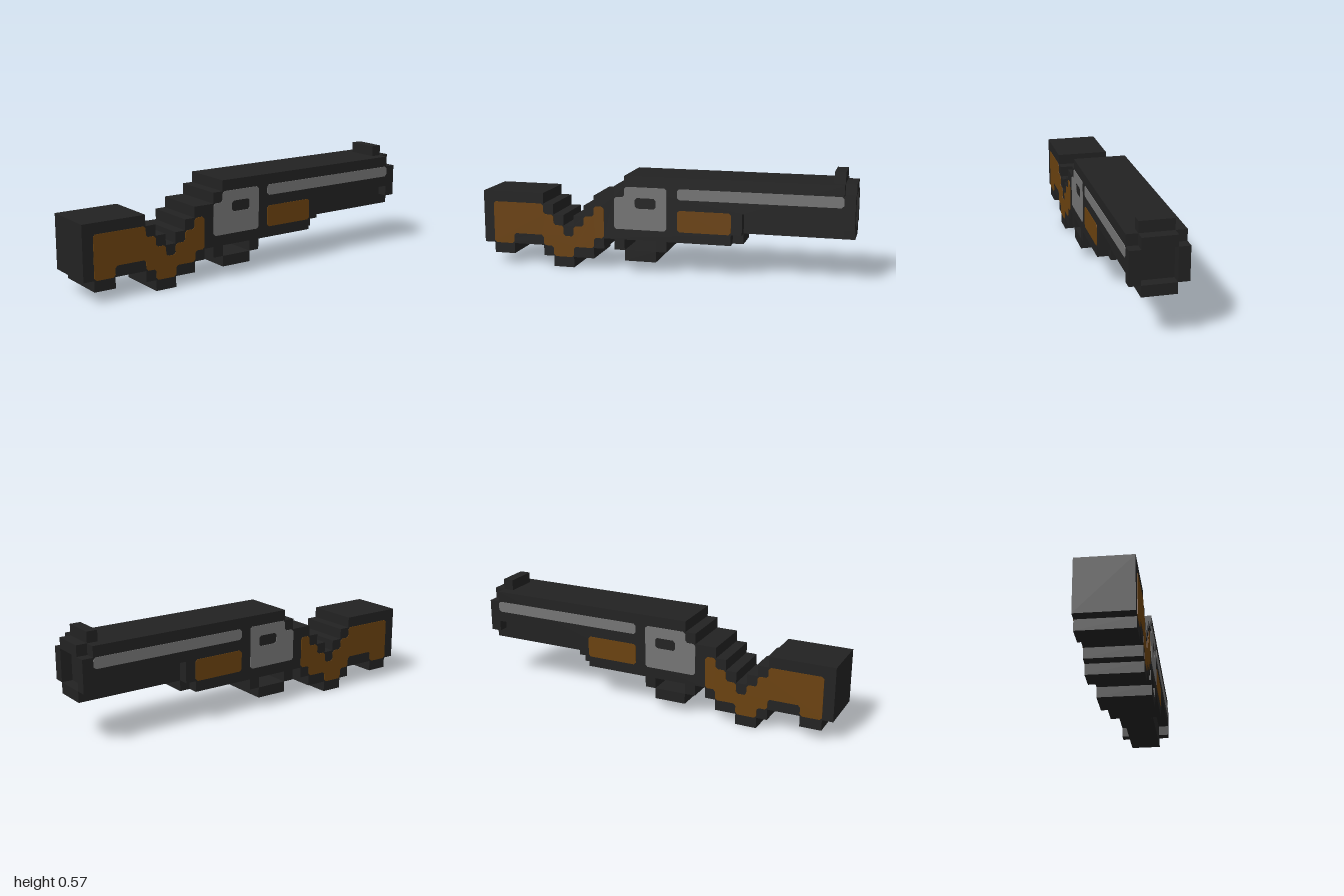
import * as THREE from 'three';

const U = 2 / 35;      // one block
const HALF = 2.5;      // half thickness in blocks

const darkMetal = new THREE.MeshStandardMaterial({ color: 0x222222 });
const greyMetal = new THREE.MeshStandardMaterial({ color: 0x757575 });
const brownWood = new THREE.MeshStandardMaterial({ color: 0x6b420f });
darkMetal.name = 'darkMetal';
greyMetal.name = 'greyMetal';
brownWood.name = 'brownWood';

// Closed outline, optionally with every corner cut by c blocks
function outline(points, c = 0, PathType = THREE.Shape) {
  const v = points.map(([x, y]) => new THREE.Vector2(x, y));
  if (!c) return new PathType(v);
  const cut = [];
  v.forEach((p, i) => {
    for (const q of [v[(i + v.length - 1) % v.length], v[(i + 1) % v.length]]) {
      cut.push(q.clone().sub(p).setLength(c).add(p));
    }
  });
  return new PathType(cut);
}

const rect = (x0, x1, y0, y1) => [[x0, y0], [x1, y0], [x1, y1], [x0, y1]];

export function createModel() {
  const model = new THREE.Group();
  model.name = 'blockShotgun';

  function add(name, geometry, material) {
    geometry.translate(-17.5, 0, 0).scale(U, U, U);
    const mesh = new THREE.Mesh(geometry, material);
    mesh.name = name;
    model.add(mesh);
  }

  // Box given by its limits in blocks
  function box(name, x0, x1, y0, y1, z0 = -HALF, z1 = HALF) {
    const g = new THREE.BoxGeometry(x1 - x0, y1 - y0, z1 - z0);
    g.translate((x0 + x1) / 2, (y0 + y1) / 2, (z0 + z1) / 2);
    add(name, g, darkMetal);
  }

  // Thin painted panel on both sides
  function panels(name, points, material, hole) {
    const shape = outline(points, 0.2);
    if (hole) shape.holes.push(outline(hole, 0.2, THREE.Path));
    for (const [side, z] of [['Front', HALF], ['Back', -HALF - 0.05]]) {
      const g = new THREE.ExtrudeGeometry(shape, { depth: 0.05, bevelEnabled: false });
      add(name + side, g.translate(0, 0, z), material);
    }
  }

  // Stock, receiver, forearm and upper barrel in one stepped silhouette
  const body = outline([
    [0, 2], [1, 2], [1, 1], [3, 1], [3, 2], [6, 2], [6, 1], [7, 1], [7, 0], [9, 0], [9, 1],
    [11, 1], [11, 2], [12, 2], [12, 3], [24, 3], [24, 4], [25, 4], [25, 6], [34, 6],
    [34, 9], [14, 9], [14, 8], [13, 8], [13, 7], [11, 7], [11, 6], [10, 6], [10, 5],
    [9, 5], [9, 4], [8, 4], [8, 5], [7, 5], [7, 6], [6, 6], [6, 7], [0, 7],
  ]);
  add('body', new THREE.ExtrudeGeometry(body, { depth: 2 * HALF, bevelEnabled: false })
    .translate(0, 0, -HALF), darkMetal);

  // Trigger guard
  box('guardRearPost', 13, 14, 2, 3);
  box('guardFrontPost', 17, 18, 2, 3);
  box('guardBottom', 14, 17, 1, 2);

  // Narrow parts: forearm tip, magazine tube and front sight
  box('forearmTip', 24, 25, 3, 4, -1.5, 1.5);
  box('magazineTube', 25, 34, 4, 6, -1.5, 1.5);
  box('frontSight', 33, 34, 9, 10, -1.5, 1.5);

  // Muzzle ring around a recessed bore
  box('muzzleTop', 34, 35, 8, 9, -1.5, 1.5);
  box('muzzleBottom', 34, 35, 4, 5, -1.5, 1.5);
  box('muzzleLeft', 34, 35, 5, 8, -2.5, -1.5);
  box('muzzleRight', 34, 35, 5, 8, 1.5, 2.5);

  // Wooden and steel side panels
  panels('stockPanel', [
    [1, 2], [3, 2], [3, 3], [6, 3], [6, 2], [7, 2], [7, 1], [9, 1], [9, 2], [11, 2], [11, 3],
    [12, 3], [12, 6], [11, 6], [11, 5], [10, 5], [10, 4], [9, 4], [9, 3], [8, 3], [8, 4],
    [7, 4], [7, 5], [6, 5], [6, 6], [1, 6],
  ], brownWood);
  panels('forearmPanel', rect(19, 24, 4, 6), brownWood);
  panels('receiverPanel', [[13, 4], [18, 4], [18, 8], [14, 8], [14, 7], [13, 7]],
    greyMetal, rect(15, 17, 6, 7));
  panels('barrelStripe', rect(19, 34, 7, 8), greyMetal);

  return model;
}
